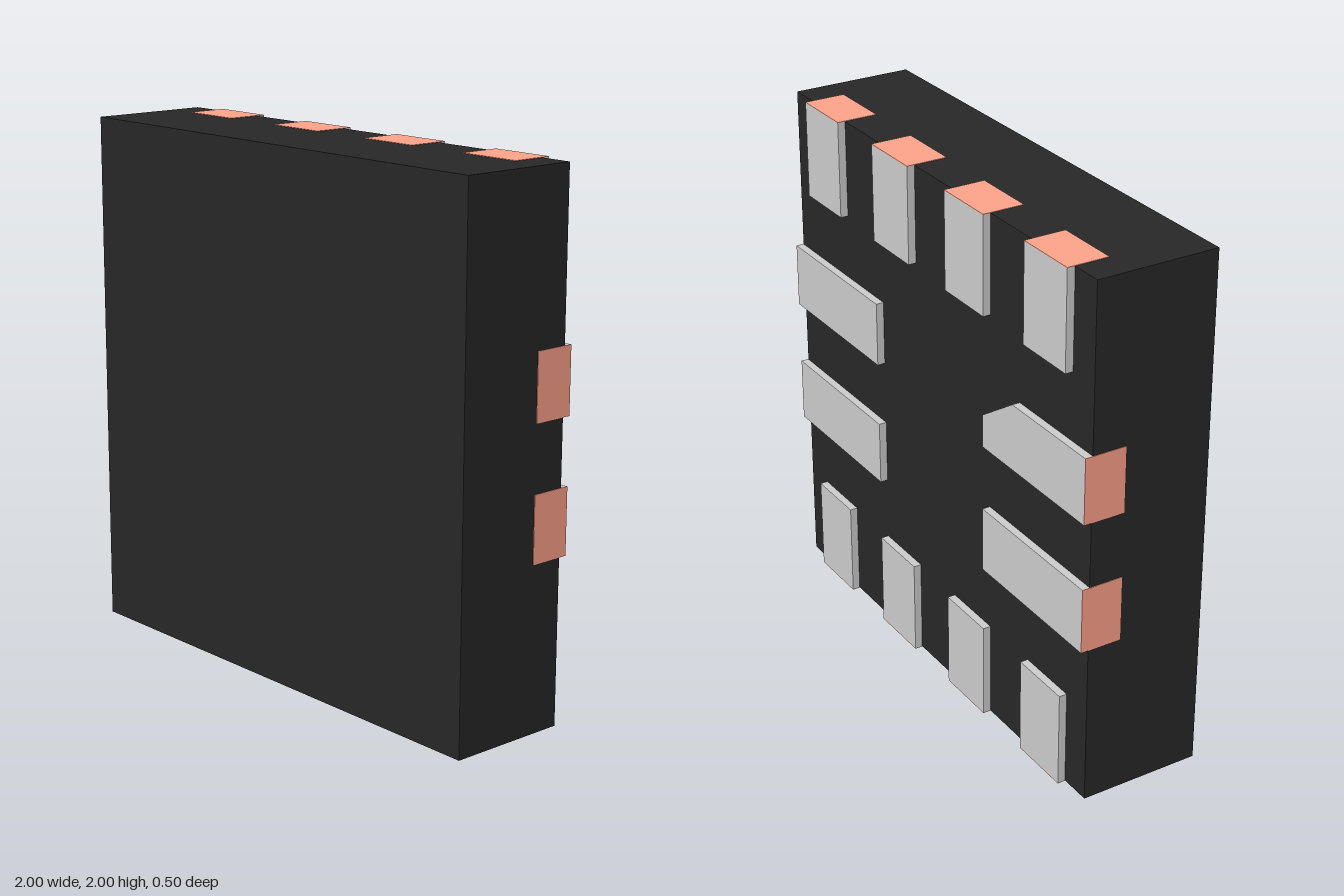
import * as THREE from 'three';

const HALF = 0.998;        // body half width, a hair inside the terminals
const PAD = { back: -0.25, front: -0.22, width: 0.25, end: 0.37 };

export function createModel() {
  const model = new THREE.Group();
  const black = new THREE.MeshStandardMaterial({ color: 0x272727 });
  const grey = new THREE.MeshStandardMaterial({ color: 0xcccccc });
  const copper = new THREE.MeshStandardMaterial({ color: 0xfda289 });

  function box(name, material, x, y, z, w, h, d) {
    const mesh = new THREE.Mesh(new THREE.BoxGeometry(w, h, d), material);
    mesh.name = name;
    mesh.position.set(x, y, z);
    model.add(mesh);
  }

  // Moulded package body
  box('body', black, 0, 1, 0.015, HALF * 2, HALF * 2, 0.47);

  const thick = PAD.front - PAD.back;
  const padZ = (PAD.front + PAD.back) / 2;
  const skin = 0.003;      // thickness of the copper terminal faces
  const termZ = -0.17, termDepth = 0.16;

  // Contacts along the top and bottom edges
  for (const side of [-1, 1]) {
    for (const x of [-0.75, -0.25, 0.25, 0.75]) {
      const length = 0.373 - skin;
      box('edgePad', grey, x, 1 + side * (1 - skin - length / 2), padZ, PAD.width, length, thick);
      box('edgeTerminal', copper, x, 1 + side * (1 - skin / 2), termZ, PAD.width, skin, termDepth);
    }
  }

  // Longer contacts along the left and right sides; one has a cut corner
  for (const side of [-1, 1]) {
    for (const y of [0.75, 1.25]) {
      const x0 = PAD.end, x1 = 1 - skin, h = PAD.width;
      box('sideTerminal', copper, side * (1 - skin / 2), y, termZ, skin, h, termDepth);
      if (side < 0 && y > 1) {
        const shape = new THREE.Shape([
          [-x1, y - h / 2], [-x0, y - h / 2], [-x0, y], [-x0 - 0.19, y + h / 2], [-x1, y + h / 2],
        ].map(([px, py]) => new THREE.Vector2(px, py)));
        const pad = new THREE.Mesh(
          new THREE.ExtrudeGeometry(shape, { depth: thick, bevelEnabled: false }), grey);
        pad.name = 'cornerCutPad';
        pad.position.z = PAD.back;
        model.add(pad);
      } else {
        box('sidePad', grey, side * (x0 + x1) / 2, y, padZ, x1 - x0, h, thick);
      }
    }
  }
  return model;
}
